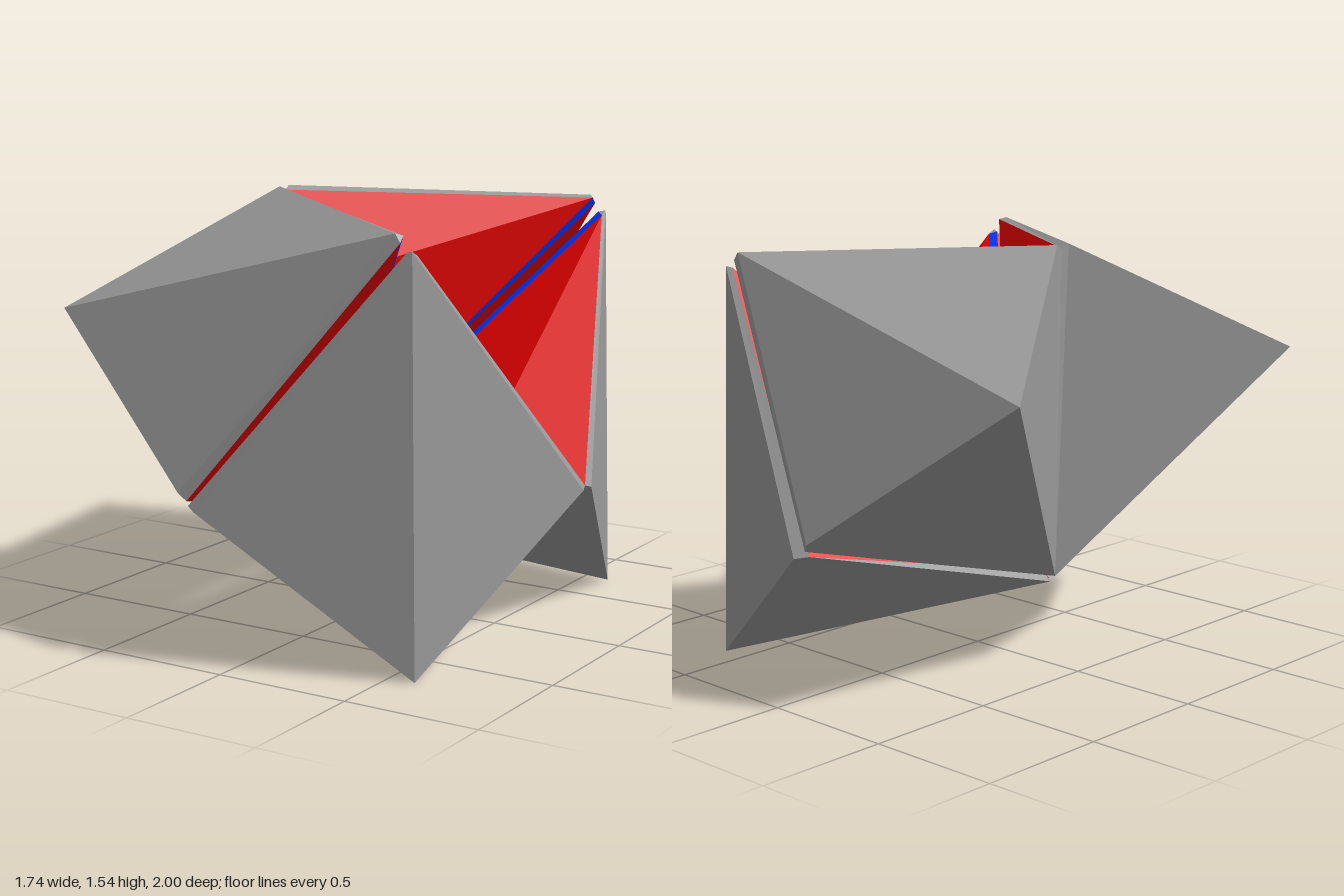
import * as THREE from 'three';

// Corner points of a front wedge (the inner corners lie on z = 0).
const LOWER = {
  ridge: [0.57, 1.44, 0.70], side: [0.865, 0.55, 0.03], tip: [0.60, 0, 0.725],
  outer: [-0.10, 0.55, 1.0], root: [-0.365, 0.31, 0],
  ridgeIn: [0.545, 1.435, 0.69], sideIn: [0.855, 0.56, 0], outerIn: [-0.145, 0.56, 0.97],
  rootIn: [-0.325, 0.345, 0], ridgeRed: [0.57, 1.425, 0.668], peak: [0.50, 0.74, 0],
  hinge: [-0.19, 0.505, 0], hingeRed: [-0.175, 0.50, 0],
};
const UPPER = {
  ridge: [0.505, 1.495, 0.70], side: [-0.41, 1.54, 0.03], tip: [-0.87, 1.14, 0.725],
  outer: [-0.165, 0.61, 1.0], root: [-0.386, 0.335, 0],
  ridgeIn: [0.525, 1.465, 0.70], sideIn: [-0.405, 1.525, 0], outerIn: [-0.14, 0.58, 0.985],
  rootIn: [-0.355, 0.375, 0], ridgeRed: [0.525, 1.487, 0.68], peak: [-0.13, 1.24, 0],
  hinge: [-0.20, 0.53, 0], hingeRed: [-0.19, 0.54, 0],
};

// Faces of a wedge, grouped by colour.
const SKINS = {
  outerShell: { color: 0x9a9a9a, faces: [
    'ridge outer tip', 'tip side ridge', 'tip outer root', 'tip root side',
    'outer ridge ridgeIn outerIn', 'root outer outerIn rootIn',
    'ridge side sideIn ridgeRed', 'ridge ridgeRed ridgeIn', 'side root sideIn',
  ] },
  innerFaces: { color: 0xea0000, faces: [
    'outerIn ridgeIn hinge rootIn',
    'ridgeRed sideIn peak', 'ridgeRed peak hingeRed',
    'root rootIn hinge hingeRed peak sideIn',
  ] },
  hingeBevel: { color: 0x0035ff, faces: ['hinge ridgeIn ridgeRed hingeRed'] },
};

function skinGeometry(points, faces, zSign, flip) {
  const pos = [];
  const put = (n) => pos.push(points[n][0], points[n][1], points[n][2] * zSign);
  for (const face of faces) {
    const n = face.split(' ');
    for (let i = 1; i < n.length - 1; i++) {
      const tri = [n[0], n[i], n[i + 1]];
      if (flip) tri.reverse();
      tri.forEach(put);
    }
  }
  const g = new THREE.BufferGeometry();
  g.setAttribute('position', new THREE.Float32BufferAttribute(pos, 3));
  g.computeVertexNormals();
  return g;
}

export function createModel() {
  const model = new THREE.Group();
  model.name = 'foldingWedges';
  const materials = {};
  for (const [name, { color }] of Object.entries(SKINS)) {
    materials[name] = new THREE.MeshStandardMaterial({ color, flatShading: true });
  }
  // Two wedges in front, mirrored to the back
  for (const [level, points] of [['lower', LOWER], ['upper', UPPER]]) {
    for (const zSign of [1, -1]) {
      const wedge = new THREE.Group();
      wedge.name = level + (zSign > 0 ? 'FrontWedge' : 'BackWedge');
      const flip = (level === 'upper') !== (zSign < 0);
      for (const [name, { faces }] of Object.entries(SKINS)) {
        const mesh = new THREE.Mesh(skinGeometry(points, faces, zSign, flip), materials[name]);
        mesh.name = name;
        wedge.add(mesh);
      }
      model.add(wedge);
    }
  }
  return model;
}
